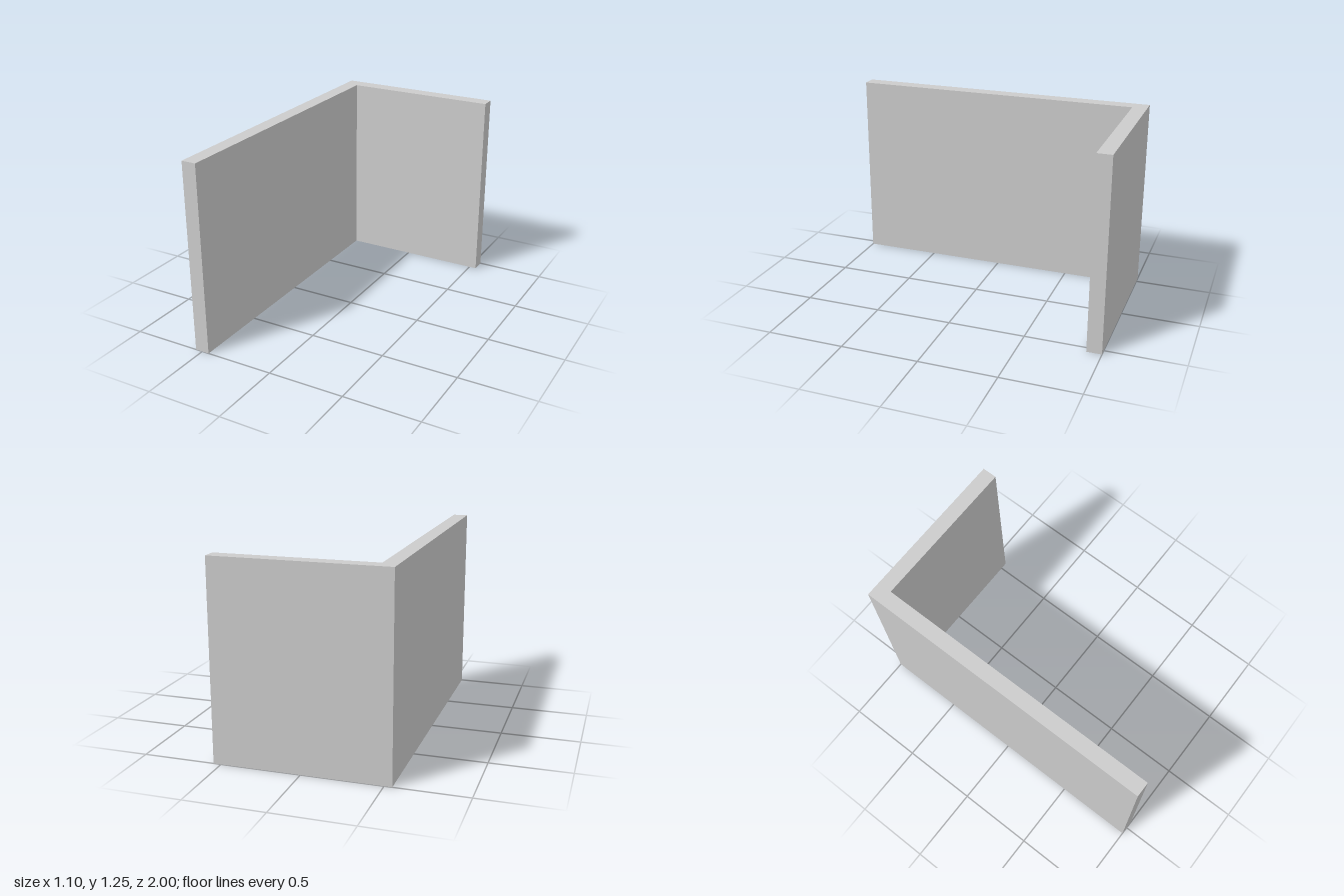
import * as THREE from 'three';

const HALF_WIDTH = 0.548, HALF_DEPTH = 1, HEIGHT = 1.25, THICKNESS = 0.096;

export function createModel() {
  const group = new THREE.Group();
  group.name = 'cornerWall';

  // L-shaped floor plan, drawn with plan y = -z
  const inX = -HALF_WIDTH + THICKNESS;
  const inY = HALF_DEPTH - THICKNESS;
  const plan = new THREE.Shape([
    [-HALF_WIDTH, -HALF_DEPTH],
    [inX, -HALF_DEPTH],
    [inX, inY],
    [HALF_WIDTH, inY],
    [HALF_WIDTH, HALF_DEPTH],
    [-HALF_WIDTH, HALF_DEPTH],
  ].map(([x, y]) => new THREE.Vector2(x, y)));

  // Long side wall and short back wall as one solid, raised from the floor
  const geometry = new THREE.ExtrudeGeometry(plan, { depth: HEIGHT, bevelEnabled: false });
  geometry.rotateX(-Math.PI / 2);

  const walls = new THREE.Mesh(geometry, new THREE.MeshStandardMaterial({ color: 0xcccccc }));
  walls.name = 'walls';
  group.add(walls);
  return group;
}
